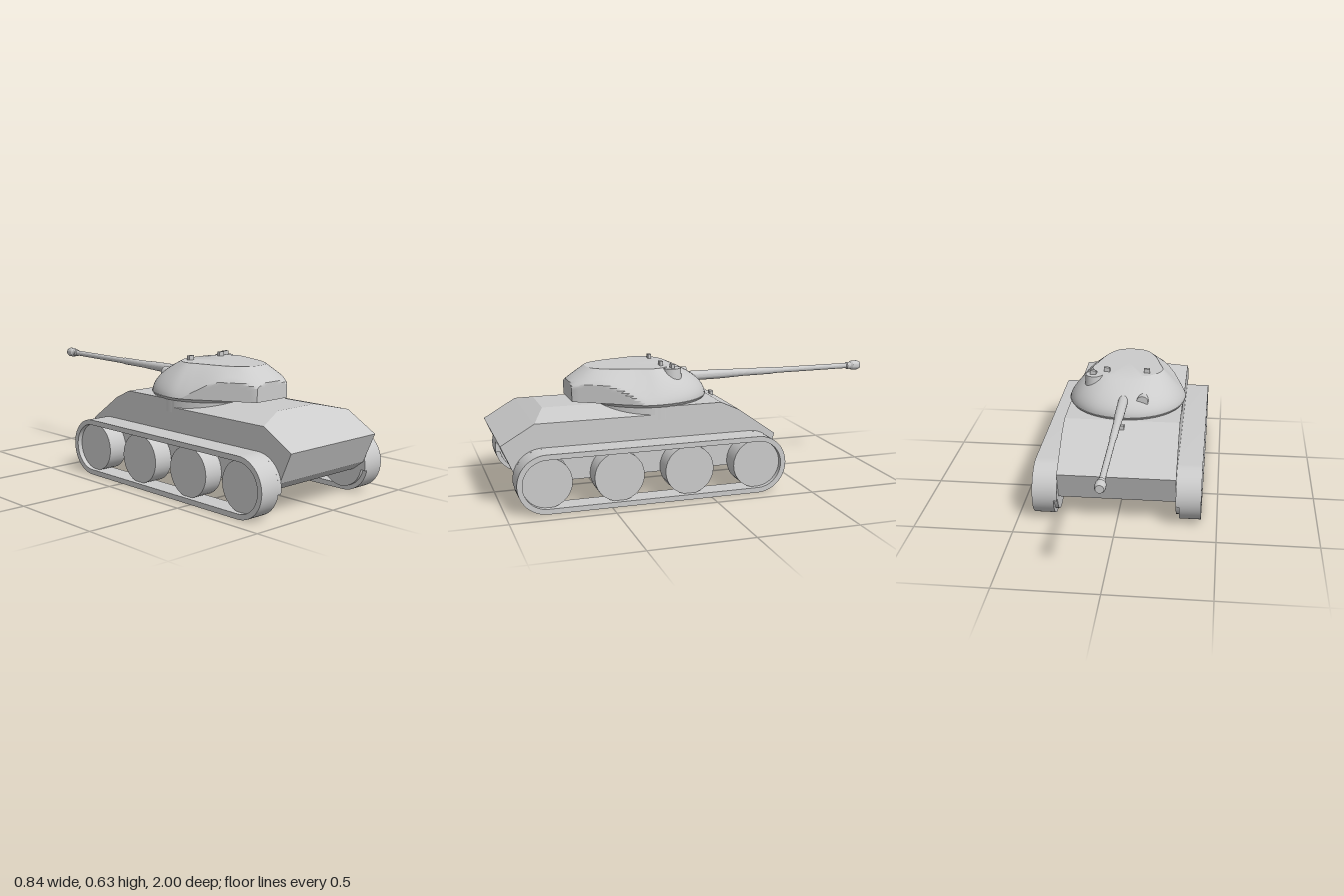
import * as THREE from 'three';
import { toCreasedNormals } from 'three/addons/utils/BufferGeometryUtils.js';
import { ConvexGeometry } from 'three/addons/geometries/ConvexGeometry.js';

const material = new THREE.MeshStandardMaterial({ color: 0xcccccc });

function add(group, name, geometry, x = 0, y = 0, z = 0) {
  const mesh = new THREE.Mesh(geometry, material);
  mesh.name = name;
  mesh.position.set(x, y, z);
  group.add(mesh);
  return mesh;
}

// Convex block from [halfWidth, y, z] rows mirrored in x
function block(rows) {
  return new ConvexGeometry(rows.flatMap(([x, y, z]) =>
    [new THREE.Vector3(x, y, z), new THREE.Vector3(-x, y, z)]));
}

// Extrude a (z, y) side profile between x0 and x1
function sideExtrude(shape, x0, x1) {
  const g = new THREE.ExtrudeGeometry(shape, { depth: x1 - x0, bevelEnabled: false, curveSegments: 14 });
  g.rotateY(-Math.PI / 2).translate(x1, 0, 0);
  return toCreasedNormals(g, 0.5);
}

// Track loop: two end arcs joined by straight runs
const AXLE = 0.1435, REAR = 0.805, FRONT = -0.243, OUTER = 0.1435, INNER = 0.118;
function stadium(path, r) {
  path.absarc(REAR, AXLE, r, -Math.PI / 2, Math.PI / 2, false);
  path.absarc(FRONT, AXLE, r, Math.PI / 2, Math.PI * 1.5, false);
  path.closePath();
  return path;
}

function buildTrack(side) {
  const track = new THREE.Group();
  track.name = side > 0 ? 'leftTrack' : 'rightTrack';
  const span = (a, b) => side > 0 ? [a, b] : [-b, -a];

  const loop = stadium(new THREE.Shape(), OUTER);
  loop.holes.push(stadium(new THREE.Path(), INNER));
  add(track, 'trackLoop', sideExtrude(loop, ...span(0.313, 0.42)));

  // Upper run reaches inward to the hull
  const d = 0.165, top = Math.PI / 2;
  const upper = new THREE.Shape();
  upper.absarc(REAR, AXLE, OUTER, -d, top, false);
  upper.absarc(FRONT, AXLE, OUTER, top, Math.PI + d, false);
  upper.absarc(FRONT, AXLE, INNER, Math.PI + d, top, true);
  upper.absarc(REAR, AXLE, INNER, top, -d, true);
  upper.closePath();
  add(track, 'trackInnerEdge', sideExtrude(upper, ...span(0.295, 0.313)));

  for (let i = 0; i < 4; i++) {
    const wheel = new THREE.CylinderGeometry(0.122, 0.122, 0.1, 28).rotateZ(Math.PI / 2);
    add(track, 'roadWheel', wheel, side * 0.345, AXLE, REAR + (FRONT - REAR) * i / 3);
  }
  return track;
}

// Turret: lofted between base plan and roof plan, trimmed by upright rear walls
function turretGeometry() {
  const half = [ // roof x, roof z, base x, base z
    [0, 0.1, 0, -0.088], [0.09, 0.11, 0.155, -0.047], [0.15, 0.145, 0.26, 0.06],
    [0.185, 0.21, 0.305, 0.205], [0.165, 0.3, 0.295, 0.36], [0.125, 0.43, 0.26, 0.56],
    [0.075, 0.505, 0.14, 0.68], [0, 0.526, 0, 0.72]];
  const loop = [...half, ...half.slice(1, -1).reverse().map(([a, b, c, d]) => [-a, b, -c, d])];
  const curve = k => new THREE.CatmullRomCurve3(
    loop.map(p => new THREE.Vector3(p[k], 0, p[k + 1])), true, 'centripetal');
  const roof = curve(0), base = curve(2);
  const n = 112, levels = 14, y0 = 0.455, y1 = 0.61, cz = 0.215;
  const positions = [], index = [];
  const ring = fn => { for (let i = 0; i < n; i++) positions.push(...fn(i / n)); };

  ring(() => [0, y0, cz]);
  for (let j = 0; j <= levels; j++) {
    const t = j / levels;
    ring(u => {
      const a = base.getPoint(u), b = roof.getPoint(u);
      const frontness = Math.max(0, Math.cos(u * Math.PI * 2));
      const p = a.lerp(b, Math.pow(t, 1.2 + 0.8 * frontness));
      const x = p.x, z = p.z - cz;
      const wall = 0.851 * Math.abs(x) + 0.525 * z;
      const s = Math.min(1, wall > 0 ? 0.303 / wall : 1, z > 0 ? 0.402 / z : 1);
      return [x * s, y0 + (y1 - y0) * t, cz + z * s];
    });
  }
  ring(() => [0, y1, 0.3]);

  for (let j = 0; j < levels + 2; j++) for (let i = 0; i < n; i++) {
    const k = (i + 1) % n, a = j * n + i, b = j * n + k;
    if (j <= levels) index.push(b, a + n, b + n);
    if (j > 0) index.push(a, a + n, b);
  }
  const g = new THREE.BufferGeometry();
  g.setAttribute('position', new THREE.Float32BufferAttribute(positions, 3));
  g.setIndex(index);
  return toCreasedNormals(g, 0.45);
}

export function createModel() {
  const model = new THREE.Group();
  model.name = 'tank';

  // Hull: flat-topped gun end, chamfered engine deck at the other end
  const w = 0.295;
  add(model, 'hullFront', block([
    [w, 0.12, 0.25], [w, 0.443, 0.25], [w, 0.443, -0.09], [w, 0.4, -0.185],
    [w, 0.264, -0.378], [w, 0.12, -0.33]]));
  add(model, 'hullRear', block([
    [w, 0.12, 0.25], [w, 0.405, 0.25], [0.13, 0.443, 0.25], [0.13, 0.443, 0.77],
    [w, 0.405, 0.837], [w, 0.31, 1], [w, 0.165, 0.937], [w, 0.12, 0.88]]));
  add(model, 'turretRing', new THREE.CylinderGeometry(0.296, 0.296, 0.063, 64), 0, 0.4115, 0.215);
  add(model, 'hullPeriscope', new THREE.BoxGeometry(0.032, 0.03, 0.018), 0, 0.425, -0.14);

  model.add(buildTrack(1), buildTrack(-1));

  // Turret and its roof fittings
  const turret = new THREE.Group();
  turret.name = 'turret';
  model.add(turret);
  add(turret, 'turretShell', turretGeometry());
  add(turret, 'turretSkirt', new THREE.CylinderGeometry(0.307, 0.297, 0.014, 64), 0, 0.448, 0.215);
  for (const x of [-0.105, 0.105])
    add(turret, 'roofPeriscope', new THREE.BoxGeometry(0.032, 0.03, 0.016), x, 0.617, 0.163);
  add(turret, 'cupola', new THREE.CylinderGeometry(0.045, 0.052, 0.09, 28), 0.167, 0.562, 0.125);
  add(turret, 'cupolaPeriscope', new THREE.BoxGeometry(0.032, 0.03, 0.016), 0.173, 0.612, 0.125);
  add(turret, 'sightPort', new THREE.CylinderGeometry(0.03, 0.03, 0.09, 24).rotateX(Math.PI / 2), -0.098, 0.525, 0.01);

  // Gun: radius and distance along the barrel
  const profile = [[0, 0], [0.025, 0], [0.024, 0.2], [0.019, 0.32], [0.018, 0.48], [0.015, 0.5],
    [0.014, 0.92], [0.019, 0.925], [0.019, 0.945], [0.025, 0.955], [0.025, 0.985], [0.019, 1], [0, 1]];
  const barrel = new THREE.LatheGeometry(profile.map(p => new THREE.Vector2(...p)), 24);
  add(turret, 'gunBarrel', toCreasedNormals(barrel.rotateX(-Math.PI / 2), 0.5), 0, 0.525, 0);
  return model;
}
